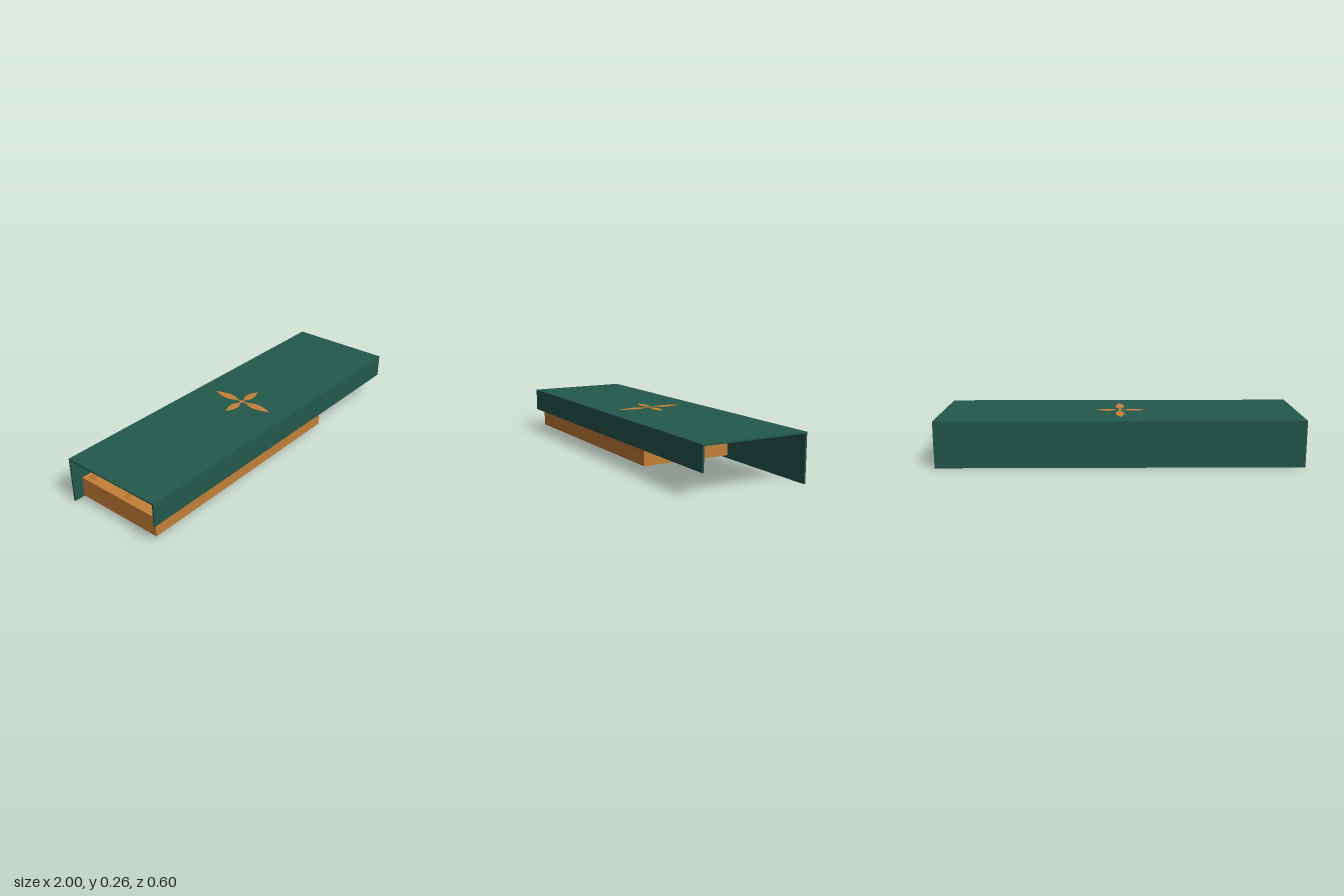
import * as THREE from 'three';

const green = new THREE.MeshStandardMaterial({ color: 0x23594c });
green.name = 'dark green';
const wood = new THREE.MeshStandardMaterial({ color: 0xc47f37 });
wood.name = 'warm wood';

function box(name, x0, x1, y0, y1, z0, z1) {
  const mesh = new THREE.Mesh(new THREE.BoxGeometry(x1 - x0, y1 - y0, z1 - z0), wood);
  mesh.position.set((x0 + x1) / 2, (y0 + y1) / 2, (z0 + z1) / 2);
  mesh.name = name;
  return mesh;
}

// Sleeve: uneven channel profile (z, y) swept along x, short lip in front, full wall behind
function createSleeve() {
  const profile = new THREE.Shape([
    [0.298, 0.127], [0.298, 0.257], [-0.298, 0.257], [-0.298, 0],
    [-0.288, 0], [-0.288, 0.249], [0.289, 0.249], [0.289, 0.127],
  ].map(([z, y]) => new THREE.Vector2(z, y)));
  const geometry = new THREE.ExtrudeGeometry(profile, { depth: 2, bevelEnabled: false });
  geometry.rotateY(-Math.PI / 2).translate(1, 0, 0);
  const sleeve = new THREE.Mesh(geometry, green);
  sleeve.name = 'sleeve';
  return sleeve;
}

// Tray: floor, rim walls and compartment dividers
function createTray() {
  const tray = new THREE.Group();
  tray.name = 'tray';
  const x0 = -0.96, x1 = 0.4, y0 = 0.027, y1 = 0.138, z = 0.261, t = 0.02, floor = 0.1;
  tray.add(
    box('trayFloor', x0, x1, y0, floor, -z, z),
    box('trayFrontWall', x0, x1, floor, y1, z - t, z),
    box('trayBackWall', x0, x1, floor, y1, -z, -z + t),
    box('trayEndWall', x0, x0 + t, floor, y1, -z + t, z - t),
    box('trayEndWall', x1 - t, x1, floor, y1, -z + t, z - t),
    box('trayLongDivider', x0 + t, x1 - t, floor, y1 - 0.006, -0.01, 0.01),
  );
  for (let i = 1; i < 4; i++) {
    const x = x0 + (x1 - x0) * i / 4;
    for (const s of [-1, 1]) {
      const a = s * 0.01, b = s * (z - t);
      tray.add(box('trayCrossDivider', x - 0.01, x + 0.01, floor, y1 - 0.006, Math.min(a, b), Math.max(a, b)));
    }
  }
  return tray;
}

// Four-petal ornament lying on the sleeve's top
function createOrnament() {
  const ornament = new THREE.Group();
  ornament.name = 'ornament';
  for (let i = 0; i < 4; i++) {
    const length = i % 2 ? 0.195 : 0.14;
    const width = i % 2 ? 0.025 : 0.024;
    const petal = new THREE.Shape();
    petal.moveTo(0, -0.006);
    petal.lineTo(0.2 * length, -0.006);
    petal.bezierCurveTo(0.35 * length, -width * 1.35, 0.65 * length, -width * 1.2, length, 0);
    petal.bezierCurveTo(0.65 * length, width * 1.2, 0.35 * length, width * 1.35, 0.2 * length, 0.006);
    petal.lineTo(0, 0.006);
    const geometry = new THREE.ExtrudeGeometry(petal, { depth: 0.002, bevelEnabled: false, curveSegments: 10 });
    geometry.rotateX(-Math.PI / 2);
    const mesh = new THREE.Mesh(geometry, wood);
    mesh.rotation.y = i * Math.PI / 2;
    mesh.position.y = 0.2565;
    mesh.name = 'petal';
    ornament.add(mesh);
  }
  return ornament;
}

export function createModel() {
  const model = new THREE.Group();
  model.name = 'slidingBox';
  model.add(createSleeve(), createTray(), createOrnament());
  return model;
}
